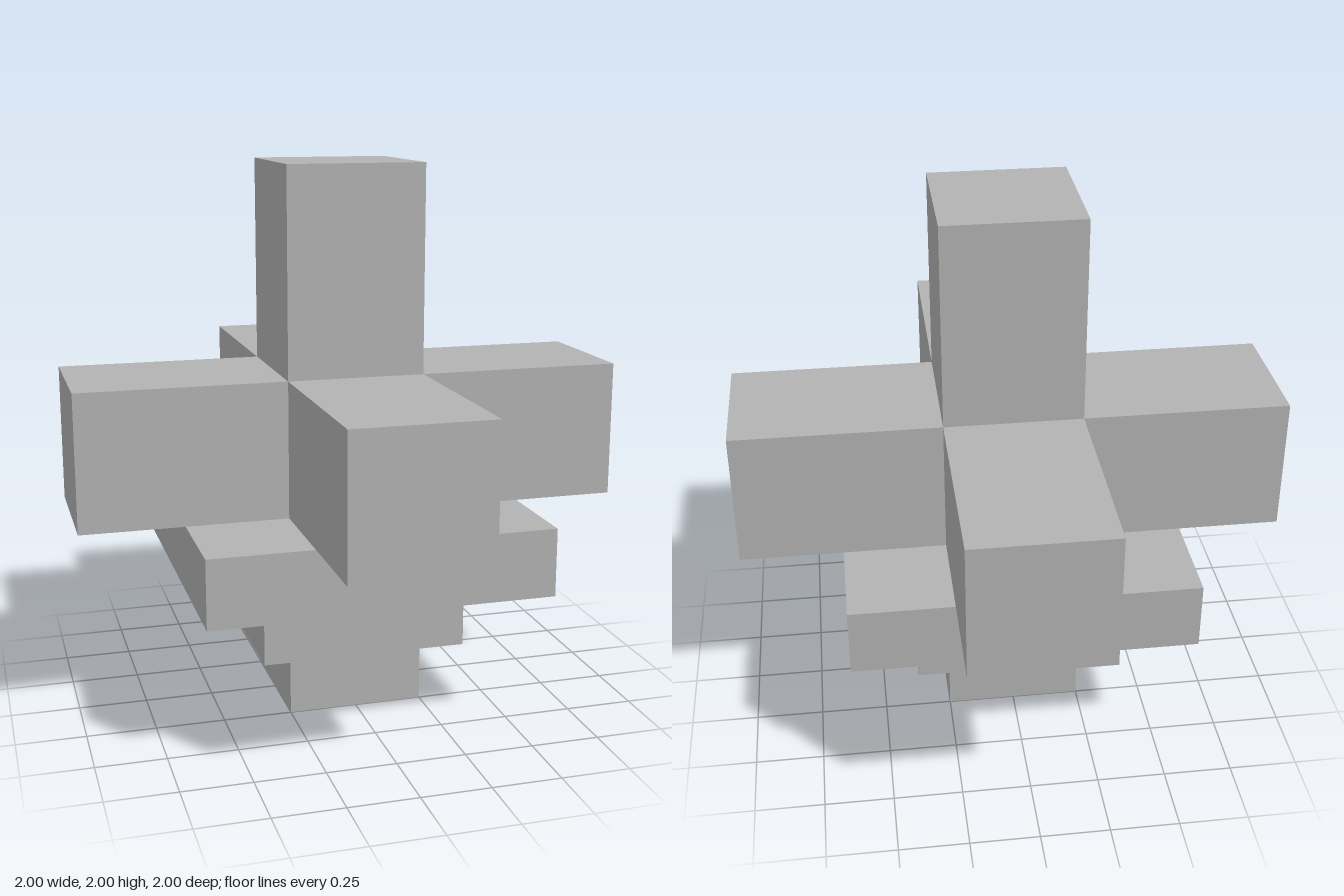
import * as THREE from 'three';

export function createModel() {
  const model = new THREE.Group();
  const grey = new THREE.MeshStandardMaterial({ color: 0xb2b2b2 });
  grey.name = 'grey';

  // Box with its base at height y
  const block = (name, w, h, d, y, x = 0, z = 0) => {
    const mesh = new THREE.Mesh(new THREE.BoxGeometry(w, h, d), grey);
    mesh.name = name;
    mesh.position.set(x, y + h / 2, z);
    model.add(mesh);
  };

  // Stepped base, widening upwards
  block('foot', 0.5, 0.25, 0.5, 0);
  block('middleTier', 0.75, 0.25, 0.75, 0.25);
  block('upperTier', 1.25, 0.25, 1.25, 0.5);

  // Upright post
  block('post', 0.5, 1.25, 0.5, 0.75);

  // Four arms reaching out from the post
  for (const s of [-1, 1]) {
    block(s > 0 ? 'leftArm' : 'rightArm', 0.75, 0.5, 0.5, 0.75, s * 0.625, 0);
    block(s > 0 ? 'frontArm' : 'backArm', 0.5, 0.5, 0.75, 0.75, 0, s * 0.625);
  }

  return model;
}
